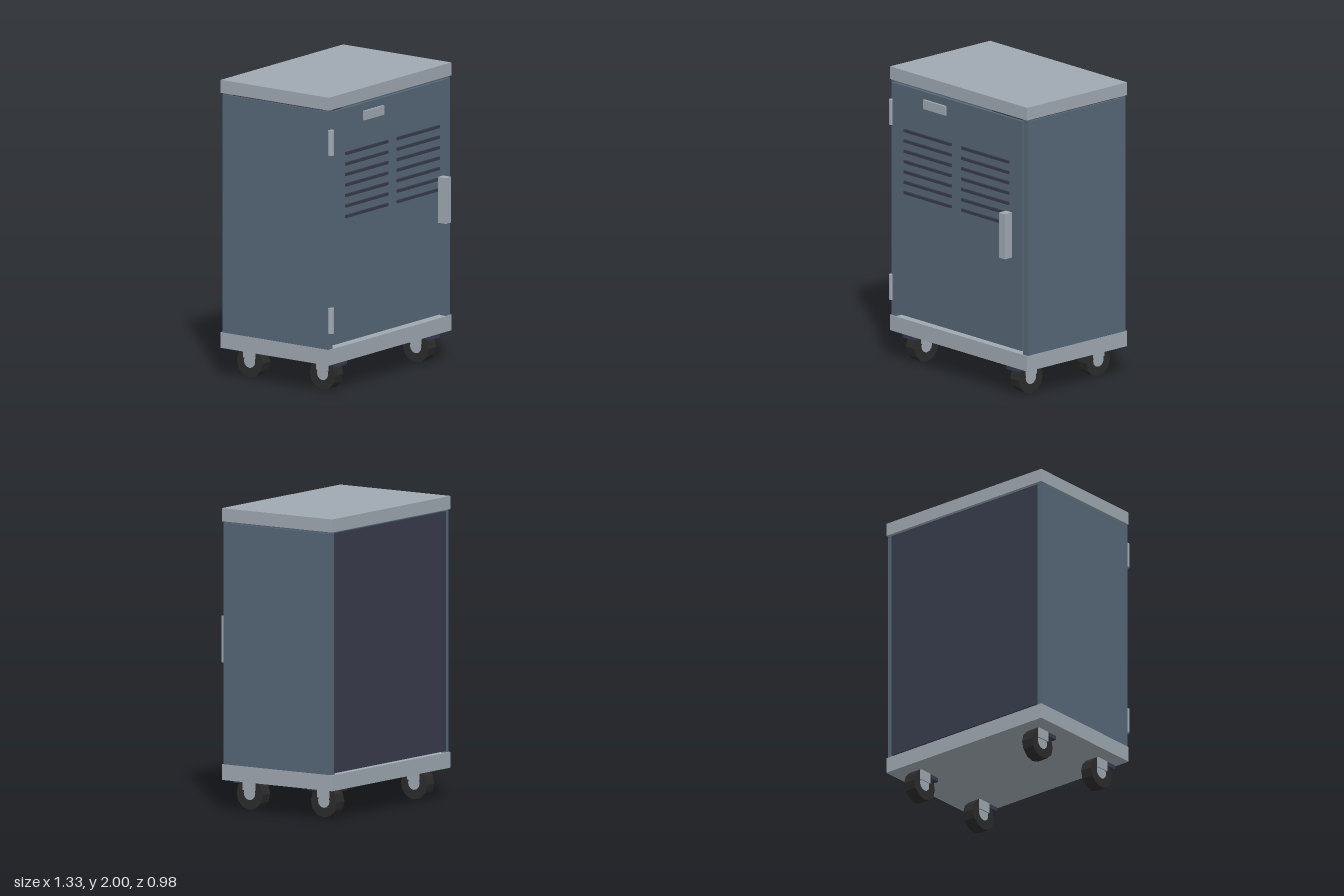
import * as THREE from 'three';

export function createModel() {
  const model = new THREE.Group();
  model.name = 'cabinetOnCasters';

  const material = (name, color) => {
    const m = new THREE.MeshStandardMaterial({ color, flatShading: true });
    m.name = name;
    return m;
  };
  const lightGrey = material('lightGrey', 0x9fa8b1);
  const steelBlue = material('steelBlue', 0x566777);
  const darkSlate = material('darkSlate', 0x383b4c);
  const rubber = material('blackRubber', 0x2b2b2b);

  const add = (parent, name, geometry, mat) => {
    const mesh = new THREE.Mesh(geometry, mat);
    mesh.name = name;
    parent.add(mesh);
    return mesh;
  };
  // Box given by its limits on each axis
  const box = (parent, name, mat, [x0, x1], [y0, y1], [z0, z1]) => {
    const mesh = add(parent, name, new THREE.BoxGeometry(x1 - x0, y1 - y0, z1 - z0), mat);
    mesh.position.set((x0 + x1) / 2, (y0 + y1) / 2, (z0 + z1) / 2);
    return mesh;
  };

  // Base and top slabs
  box(model, 'base', lightGrey, [-0.664, 0.664], [0.2, 0.305], [-0.49, 0.4]);
  box(model, 'top', lightGrey, [-0.664, 0.664], [1.913, 2], [-0.49, 0.4]);

  // Corner posts and side panels of the hollow body
  for (const s of [-1, 1]) {
    const span = (a, b) => (s > 0 ? [a, b] : [-b, -a]);
    box(model, 'frontPost', steelBlue, span(0.613, 0.657), [0.305, 1.913], [0.345, 0.392]);
    box(model, 'backPost', steelBlue, span(0.613, 0.657), [0.305, 1.913], [-0.477, -0.43]);
    box(model, 'sidePanel', steelBlue, span(0.645, 0.662), [0.305, 1.902], [-0.477, 0.39]);
  }
  box(model, 'backPanel', darkSlate, [-0.622, 0.622], [0.315, 1.902], [-0.484, -0.465]);

  // Door with its fittings
  const door = new THREE.Group();
  door.name = 'door';
  model.add(door);
  box(door, 'doorPanel', steelBlue, [-0.627, 0.627], [0.335, 1.902], [0.393, 0.414]);
  box(door, 'namePlate', lightGrey, [-0.314, -0.1], [1.79, 1.852], [0.412, 0.43]);
  box(door, 'handle', lightGrey, [0.486, 0.544], [0.958, 1.266], [0.424, 0.489]);
  for (let i = 0; i < 7; i++) {
    const y = 1.6 - i * 0.0705;
    for (const x of [-0.279, 0.279]) {
      box(door, 'ventSlot', darkSlate, [x - 0.23, x + 0.23], [y - 0.01, y + 0.01], [0.412, 0.425]);
    }
  }
  for (const y of [0.5, 1.695]) {
    const hinge = add(door, 'hinge', new THREE.CylinderGeometry(0.021, 0.021, 0.17, 12), lightGrey);
    hinge.position.set(-0.644, y, 0.402);
  }

  // Casters: wheel, hub, fork cheeks and mounting block
  const axle = (r, width) => new THREE.CylinderGeometry(r, r, width, 12).rotateZ(Math.PI / 2);
  for (const x of [-0.505, 0.505]) {
    for (const z of [-0.34, 0.26]) {
      const caster = new THREE.Group();
      caster.name = 'caster';
      caster.position.set(x, 0, z);
      model.add(caster);
      add(caster, 'wheel', axle(0.106, 0.084), rubber).position.y = 0.106;
      add(caster, 'hub', axle(0.046, 0.089), lightGrey).position.y = 0.11;
      for (const s of [-1, 1]) {
        const cheek = s > 0 ? [0.041, 0.053] : [-0.053, -0.041];
        box(caster, 'forkCheek', lightGrey, cheek, [0.13, 0.2], [-0.046, 0.048]);
      }
      box(caster, 'mountBlock', darkSlate, [-0.05, 0.05], [0.172, 0.2], [0.03, 0.13]);
    }
  }
  return model;
}
